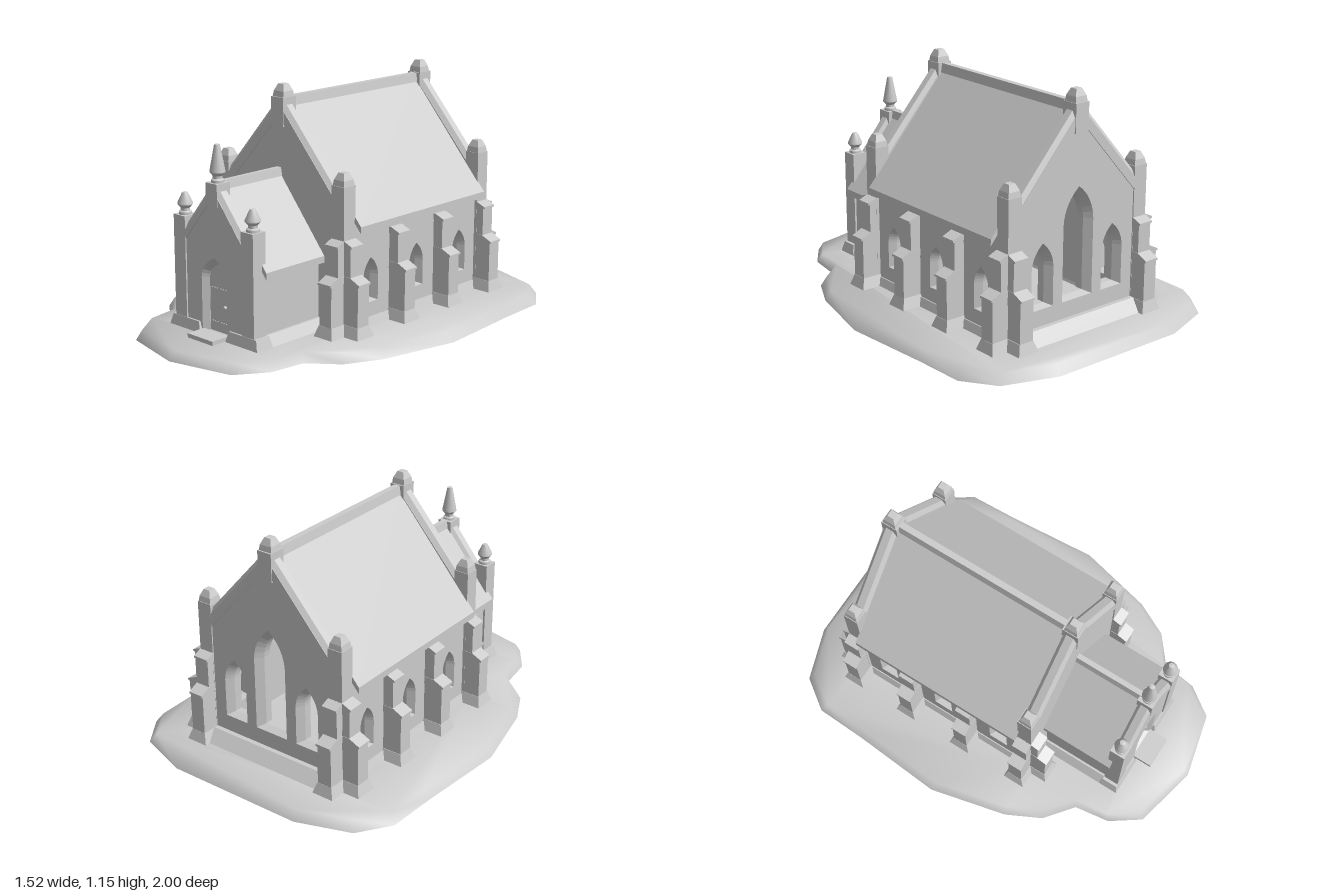
import * as THREE from 'three';
import { toCreasedNormals } from 'three/addons/utils/BufferGeometryUtils.js';

const flat = new THREE.MeshStandardMaterial({ color: 0xcccccc, flatShading: true, side: THREE.DoubleSide });
const smooth = new THREE.MeshStandardMaterial({ color: 0xcccccc });
const GROUND = 0.045;
const NAVE_Z = -0.205;
const FRONT_Z = 0.28, BACK_Z = -0.69;

function add(parent, name, geometry, x = 0, y = 0, z = 0, material = flat) {
  const mesh = new THREE.Mesh(geometry, material);
  mesh.name = name;
  mesh.position.set(x, y, z);
  parent.add(mesh);
  return mesh;
}

function group(parent, name, x = 0, y = 0, z = 0, turn = 0) {
  const g = new THREE.Group();
  g.name = name;
  g.position.set(x, y, z);
  g.rotation.y = turn;
  parent.add(g);
  return g;
}

const box = (w, h, d) => new THREE.BoxGeometry(w, h, d).translate(0, h / 2, 0);

// Box standing on y = 0 whose top is w1 x d1
function frustum(w0, d0, w1, d1, h) {
  const g = box(w0, h, d0);
  const p = g.attributes.position;
  for (let i = 0; i < p.count; i++) {
    if (p.getY(i) > h / 2) p.setXYZ(i, Math.sign(p.getX(i)) * w1 / 2, h, Math.sign(p.getZ(i)) * d1 / 2);
  }
  g.computeVertexNormals();
  return g;
}

const toShape = (pts) => new THREE.Shape(pts.map(([x, y]) => new THREE.Vector2(x, y)));

function extrude(shape, depth) {
  return new THREE.ExtrudeGeometry(shape, { depth, bevelEnabled: false, curveSegments: 6 });
}

// Pointed arch outline
function arch(cx, w, sill, spring, apex) {
  const curve = new THREE.QuadraticBezierCurve(
    new THREE.Vector2(w, spring), new THREE.Vector2(w * 0.95, spring + (apex - spring) * 0.6), new THREE.Vector2(0, apex));
  const side = curve.getPoints(6).map((p) => [p.x, p.y]);
  const mirrored = side.slice(0, -1).reverse().map(([x, y]) => [-x, y]);
  return [[-w, sill], [w, sill], ...side, ...mirrored].map(([x, y]) => [x + cx, y]);
}

// Sloping surface between two loops of equal length
function splay(outer, inner, depth) {
  const n = outer.length, pos = [], idx = [];
  outer.forEach(([x, y]) => pos.push(x, y, 0));
  inner.forEach(([x, y]) => pos.push(x, y, -depth));
  for (let i = 0; i < n; i++) {
    const j = (i + 1) % n;
    idx.push(i, j, n + i, j, n + j, n + i);
  }
  const g = new THREE.BufferGeometry();
  g.setAttribute('position', new THREE.Float32BufferAttribute(pos, 3));
  g.setIndex(idx);
  g.computeVertexNormals();
  return g;
}

// Wall with its outer face at z = 0; openings are [cx, halfWidth, sill, spring, apex, frameWidth]
function wall(parent, name, outline, openings, t) {
  const shape = toShape(outline);
  for (const [cx, w, sill, spring, apex, r] of openings) {
    const outer = arch(cx, w, sill, spring, apex);
    shape.holes.push(new THREE.Path(outer.map(([x, y]) => new THREE.Vector2(x, y))));
    if (!r) continue;
    const inner = arch(cx, w - r, sill + r * 0.5, spring, apex - r * 1.4);
    add(parent, 'openingSplay', splay(outer, inner, t * 0.5));
    const ring = toShape(outer);
    ring.holes.push(new THREE.Path(inner.map(([x, y]) => new THREE.Vector2(x, y))));
    add(parent, 'openingFrame', extrude(ring, t * 0.5), 0, 0, -t);
  }
  add(parent, name, extrude(shape, t), 0, 0, -t);
}

const gable = (w, eave, apex) => [[-w, GROUND], [w, GROUND], [w, eave], [0, apex], [-w, eave]];

// Two sloping slabs meeting at the ridge
function chevron(apex, slope, w, t, depth) {
  const e = apex - slope * w;
  return extrude(toShape([[-w, e], [-w, e - t], [0, apex - t], [w, e - t], [w, e], [0, apex]]), depth).translate(0, 0, -depth / 2);
}

// Stepped buttress reaching out along +z
function buttress(parent, x, z, turn) {
  const g = group(parent, 'buttress', x, 0, z, turn);
  const slice = (name, pts, w) => add(g, name, extrude(toShape(pts), w).rotateY(-Math.PI / 2).translate(w / 2, 0, 0));
  slice('buttressShaft', [[0, GROUND], [0.12, GROUND], [0.12, 0.3], [0.075, 0.325], [0.075, 0.465], [0.035, 0.485], [0, 0.485]], 0.074);
  slice('lowerWeathering', [[0, 0.29], [0.128, 0.29], [0.128, 0.3], [0.074, 0.325], [0, 0.325]], 0.078);
  slice('upperWeathering', [[0, 0.46], [0.083, 0.46], [0.083, 0.47], [0.035, 0.49], [0, 0.49]], 0.078);
  add(g, 'buttressFoot', frustum(0.112, 0.174, 0.078, 0.142, 0.052), 0, GROUND, 0.05);
}

// Square cap with a blunt pyramid
function cap(parent, x, y, z) {
  add(parent, 'capBase', frustum(0.07, 0.07, 0.062, 0.062, 0.026), x, y, z);
  add(parent, 'capTop', frustum(0.062, 0.062, 0.034, 0.034, 0.032), x, y + 0.026, z);
}

// Turned finial, h tall
function finial(parent, x, y, z, h) {
  const pts = [[0, 0], [0.03, 0], [0.03, 0.012], [0.022, 0.018], [0.022, 0.03], [0.036, 0.046], [0.035, 0.055], [0.013, h - 0.004], [0, h]];
  const g = new THREE.LatheGeometry(pts.map(([a, b]) => new THREE.Vector2(a, b)), 16);
  add(parent, 'finial', toCreasedNormals(g, 0.6), x, y, z, smooth);
}

// Gable coping, t thick in all, its upper layer chamfered to a narrow crest
function coping(parent, apex, slope, w, t, z) {
  add(parent, 'copingLower', chevron(apex - 0.03, slope, w, t - 0.03, 0.075), 0, 0, z);
  const crest = chevron(apex, slope, w, 0.032, 0.073);
  const p = crest.attributes.position;
  for (let i = 0; i < p.count; i++) {
    if (p.getY(i) > apex - slope * Math.abs(p.getX(i)) - 0.01) p.setZ(i, p.getZ(i) * 0.5);
  }
  add(parent, 'copingCrest', crest, 0, 0, z);
}

function buildGround(root) {
  const half = [[0.35, -1], [0.61, -0.91], [0.717, -0.757], [0.727, -0.5], [0.76, -0.05], [0.669, 0.33],
    [0.583, 0.5], [0.446, 0.61], [0.42, 0.783], [0.319, 0.926]];
  const outline = [...half.map(([x, z]) => [-x, z]), [0, 1], ...half.reverse()];
  const shape = toShape(outline.map(([x, z]) => [x, -z]));
  // Foundation slots under the walls
  const slot = (pts) => shape.holes.push(new THREE.Path(pts.map(([x, z]) => new THREE.Vector2(x, -z))));
  slot([[-0.09, 0.31], [-0.4, 0.31], [-0.4, -0.72], [0.4, -0.72], [0.4, 0.31], [0.09, 0.31],
    [0.09, 0.24], [0.33, 0.24], [0.33, -0.65], [-0.33, -0.65], [-0.33, 0.24], [-0.09, 0.24]]);
  for (const s of [-1, 1]) {
    slot([[s * 0.245, 0.32], [s * 0.245, 0.72], [s * 0.09, 0.72], [s * 0.09, 0.675], [s * 0.195, 0.675], [s * 0.195, 0.32]]);
  }
  const g = extrude(shape, GROUND).rotateX(-Math.PI / 2);
  const p = g.attributes.position;
  for (let i = 0; i < p.count; i++) {
    const x = p.getX(i), z = p.getZ(i);
    const inside = Math.abs(x) < 0.41 && z < 0.75 && z > -0.8;
    if (!inside && p.getY(i) > 0.02) p.setXYZ(i, x * 0.957, GROUND, z * 0.972);
  }
  add(root, 'ground', toCreasedNormals(g, 1.35), 0, 0, 0, smooth);
}

function buildNave(root) {
  const nave = group(root, 'nave', 0.003);
  wall(group(nave, 'frontGable', 0, 0, FRONT_Z + 0.032), 'gableWall', gable(0.4, 0.6, 1.05),
    [[0, 0.09, 0.046, 0.28, 0.4, 0]], 0.075);
  wall(group(nave, 'backGable', 0, 0, BACK_Z - 0.032, Math.PI), 'gableWall', gable(0.4, 0.6, 1.05),
    [[0, 0.09, 0.18, 0.54, 0.71, 0.028], [-0.21, 0.064, 0.18, 0.37, 0.49, 0.024], [0.21, 0.064, 0.18, 0.37, 0.49, 0.024]], 0.075);
  for (const s of [-1, 1]) {
    wall(group(nave, 'sideWall', s * 0.4, 0, NAVE_Z, s * Math.PI / 2), 'longWall',
      [[-0.49, GROUND], [0.49, GROUND], [0.49, 0.56], [-0.49, 0.56]],
      [-0.325, 0, 0.325].map((c) => [c, 0.05, 0.155, 0.28, 0.37, 0.018]), 0.075);
    add(nave, 'sidePlinth', frustum(0.1, 0.97, 0.07, 0.97, 0.04), s * 0.37, GROUND, NAVE_Z);
    for (const z of [FRONT_Z, BACK_Z, -0.045, -0.37]) buttress(nave, s * 0.378, z, s * Math.PI / 2);
    for (const z of [FRONT_Z, BACK_Z]) {
      buttress(nave, s * 0.376, z, z > 0 ? 0 : Math.PI);
      add(nave, 'cornerPier', box(0.076, 0.69, 0.076), s * 0.376, GROUND, z);
      cap(nave, s * 0.376, 0.735, z);
    }
    add(nave, 'frontPlinth', frustum(0.2, 0.1, 0.2, 0.07, 0.05), s * 0.26, GROUND, FRONT_Z);
  }
  add(nave, 'backPlinth', frustum(0.72, 0.22, 0.72, 0.11, 0.055), 0, GROUND, -0.69);
  add(nave, 'roof', chevron(1.065, 1.145, 0.452, 0.032, 0.905), 0, 0, NAVE_Z);
  add(nave, 'ridge', frustum(0.045, 0.91, 0.03, 0.91, 0.045), 0, 1.045, NAVE_Z);
  for (const z of [FRONT_Z, BACK_Z]) {
    coping(nave, 1.1, 1.125, 0.37, 0.092, z);
    add(nave, 'ridgeBlock', box(0.076, 0.135, 0.084), 0, 0.957, z);
    cap(nave, 0, 1.092, z);
  }
}

function buildPorch(root) {
  const porch = group(root, 'porch', 0.003);
  const front = group(porch, 'porchFront', 0, 0, 0.726);
  wall(front, 'porchGableWall', gable(0.245, 0.43, 0.73), [[0, 0.085, 0.046, 0.31, 0.415, 0.024]], 0.055);
  add(front, 'door', extrude(toShape(arch(0, 0.075, 0.046, 0.31, 0.4)), 0.02), 0, 0, -0.049);
  // Hinge studs and knob
  for (const y of [0.105, 0.265]) {
    for (const x of [0.012, 0.028, 0.044]) {
      for (const s of [-1, 1]) add(front, 'doorStud', new THREE.SphereGeometry(0.004, 6, 4), s * x, y, -0.028, smooth);
    }
  }
  add(front, 'doorKnob', new THREE.SphereGeometry(0.009, 10, 8), 0.044, 0.185, -0.022, smooth);
  add(porch, 'doorStep', box(0.165, 0.02, 0.1), 0, GROUND, 0.77);
  for (const s of [-1, 1]) {
    add(porch, 'porchSideWall', box(0.06, 0.37, 0.42), s * 0.22, GROUND, 0.49);
    add(porch, 'porchSidePlinth', frustum(0.14, 0.46, 0.08, 0.44, 0.05), s * 0.22, GROUND, 0.515);
    add(porch, 'porchFrontPlinth', frustum(0.205, 0.1, 0.175, 0.08, 0.05), s * 0.1875, GROUND, 0.695);
    add(porch, 'porchPier', box(0.076, 0.53, 0.076), s * 0.222, GROUND, 0.695);
    finial(porch, s * 0.222, 0.575, 0.695, 0.105);
  }
  add(porch, 'porchRoof', chevron(0.745, 1.22, 0.287, 0.032, 0.4), 0, 0, 0.48);
  add(porch, 'porchRidge', frustum(0.04, 0.39, 0.025, 0.39, 0.04), 0, 0.725, 0.48);
  coping(porch, 0.77, 1.22, 0.215, 0.075, 0.695);
  add(porch, 'porchRidgeBlock', box(0.074, 0.105, 0.08), 0, 0.655, 0.695);
  finial(porch, 0, 0.76, 0.695, 0.175);
}

export function createModel() {
  const root = new THREE.Group();
  root.name = 'chapel';
  buildGround(root);
  buildNave(root);
  buildPorch(root);
  return root;
}
